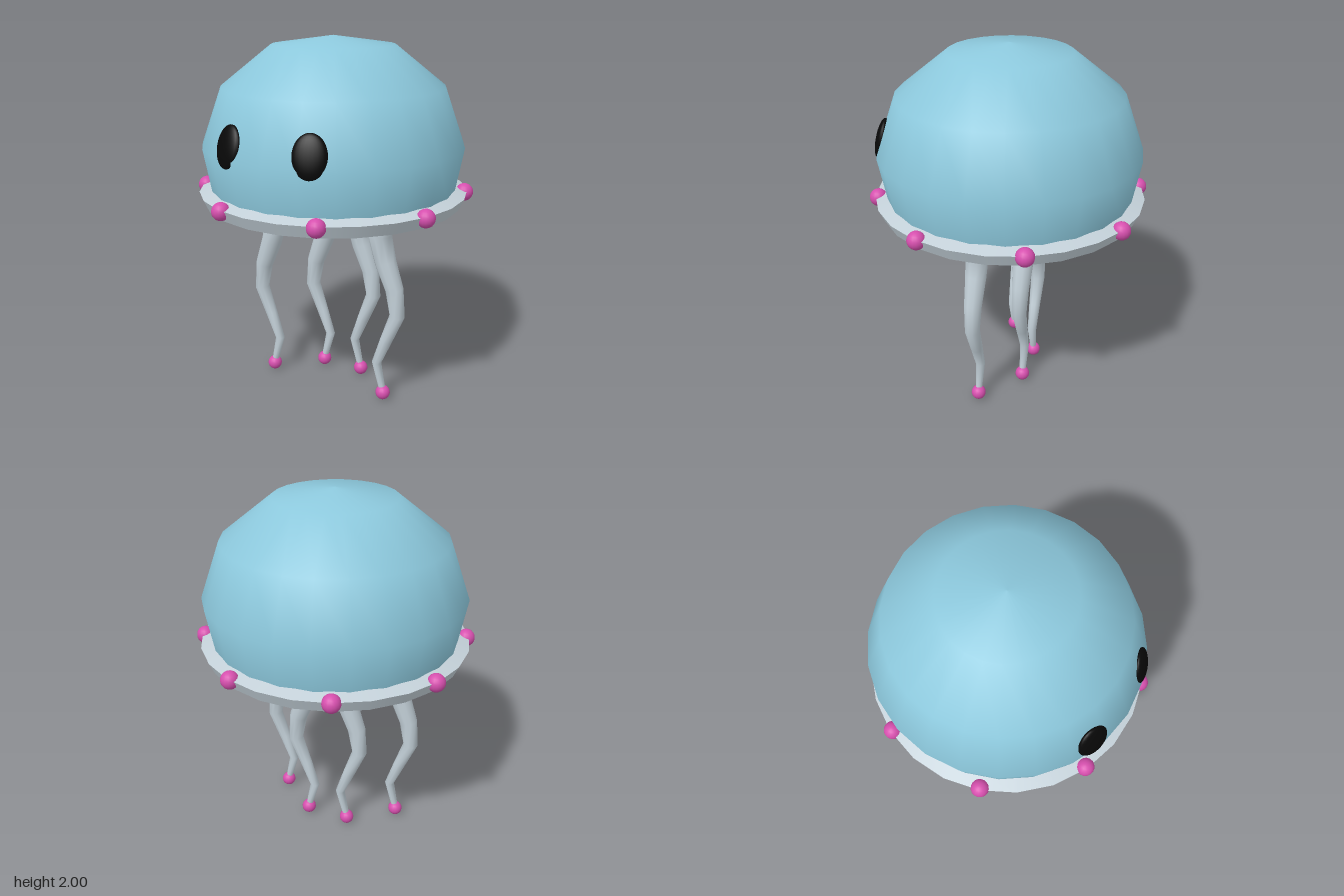
import * as THREE from 'three';

const material = (name, color) => {
  const m = new THREE.MeshStandardMaterial({ color });
  m.name = name;
  return m;
};

// Tentacle centre line: sideways offset, height, radius
const TENTACLE = [
  [-0.012, 1.16, 0.075], [0.037, 0.98, 0.066], [0, 0.83, 0.059], [-0.056, 0.68, 0.050],
  [-0.076, 0.53, 0.042], [-0.014, 0.37, 0.034], [0.042, 0.22, 0.027], [0, 0.045, 0.018],
];

// Tapered wavy tube: each cylinder ring is placed square to the centre line
function tentacleGeometry(side) {
  const sides = 10;
  const last = TENTACLE.length - 1;
  const geo = new THREE.CylinderGeometry(1, 1, 1, sides, last, true);
  const pos = geo.attributes.position;
  for (let i = 0; i < pos.count; i++) {
    const ring = Math.floor(i / (sides + 1));
    const [x, y, r] = TENTACLE[ring];
    const a = TENTACLE[Math.max(ring - 1, 0)];
    const b = TENTACLE[Math.min(ring + 1, last)];
    const along = new THREE.Vector2(side * (a[0] - b[0]), a[1] - b[1]).normalize();
    const u = pos.getX(i) * r;
    pos.setXYZ(i, side * x + u * along.y, y - u * along.x, pos.getZ(i) * r);
  }
  geo.computeVertexNormals();
  // Join the normals across the seam
  const n = geo.attributes.normal;
  for (let ring = 0; ring <= last; ring++) {
    const p = ring * (sides + 1), q = p + sides;
    const v = new THREE.Vector3().fromBufferAttribute(n, p)
      .add(new THREE.Vector3().fromBufferAttribute(n, q)).normalize();
    n.setXYZ(p, v.x, v.y, v.z);
    n.setXYZ(q, v.x, v.y, v.z);
  }
  return geo;
}

export function createModel() {
  const model = new THREE.Group();
  model.name = 'jellyfish';
  const blue = material('bell blue', 0x8cc8dc);
  const grey = material('pale grey', 0xc3d0d8);
  const pink = material('bead pink', 0xd64fae);
  const black = material('eye black', 0x080808);

  const add = (name, geometry, mat, parent = model) => {
    const mesh = new THREE.Mesh(geometry, mat);
    mesh.name = name;
    parent.add(mesh);
    return mesh;
  };
  const lathe = (points, sides) =>
    new THREE.LatheGeometry(points.map(([x, y]) => new THREE.Vector2(x, y)), sides);

  // Bell
  add('bell', lathe([[0.66, 1.17], [0.665, 1.2], [0.707, 1.435], [0.597, 1.74],
    [0.326, 1.955], [0, 2]], 24), blue);

  // Rim, one strip per face so that its edges stay sharp
  const rim = new THREE.Group();
  rim.name = 'rim';
  rim.rotation.y = Math.PI / 24;
  model.add(rim);
  const profile = [[0, 1.12], [0.7, 1.12], [0.73, 1.185], [0.66, 1.208]];
  ['rimUnderside', 'rimSide', 'rimTop'].forEach((name, i) =>
    add(name, lathe([profile[i], profile[i + 1]], 24), grey, rim));

  // Beads around the rim
  const beadGeo = new THREE.SphereGeometry(0.048, 16, 12);
  for (let i = 0; i < 8; i++) {
    const a = (i + 0.5) * Math.PI / 4;
    add('rimBead', beadGeo, pink).position.set(0.715 * Math.sin(a), 1.175, 0.715 * Math.cos(a));
  }

  const tipGeo = new THREE.SphereGeometry(0.041, 16, 12);
  const eyeGeo = new THREE.SphereGeometry(1, 24, 16);
  for (const side of [-1, 1]) {
    // Eyes, flattened against the bell
    const eye = add(side > 0 ? 'leftEye' : 'rightEye', eyeGeo, black);
    eye.scale.set(0.085, 0.11, 0.03);
    eye.position.set(side * 0.228, 1.502, 0.636);
    eye.rotation.set(-0.25, side * 0.345, 0, 'YXZ');

    // Tentacles with beaded tips: outer pair forward, inner pair back
    for (const [x, z] of [[0.364, 0.08], [0.125, -0.115]]) {
      const tentacle = new THREE.Group();
      tentacle.name = 'tentacle';
      tentacle.position.set(side * x, 0, z);
      // The wave offsets run along +x on the right side and mirror on the left
      add('tentacleArm', tentacleGeometry(-side), grey, tentacle);
      add('tentacleTip', tipGeo, pink, tentacle).position.y = 0.041;
      model.add(tentacle);
    }
  }
  return model;
}
